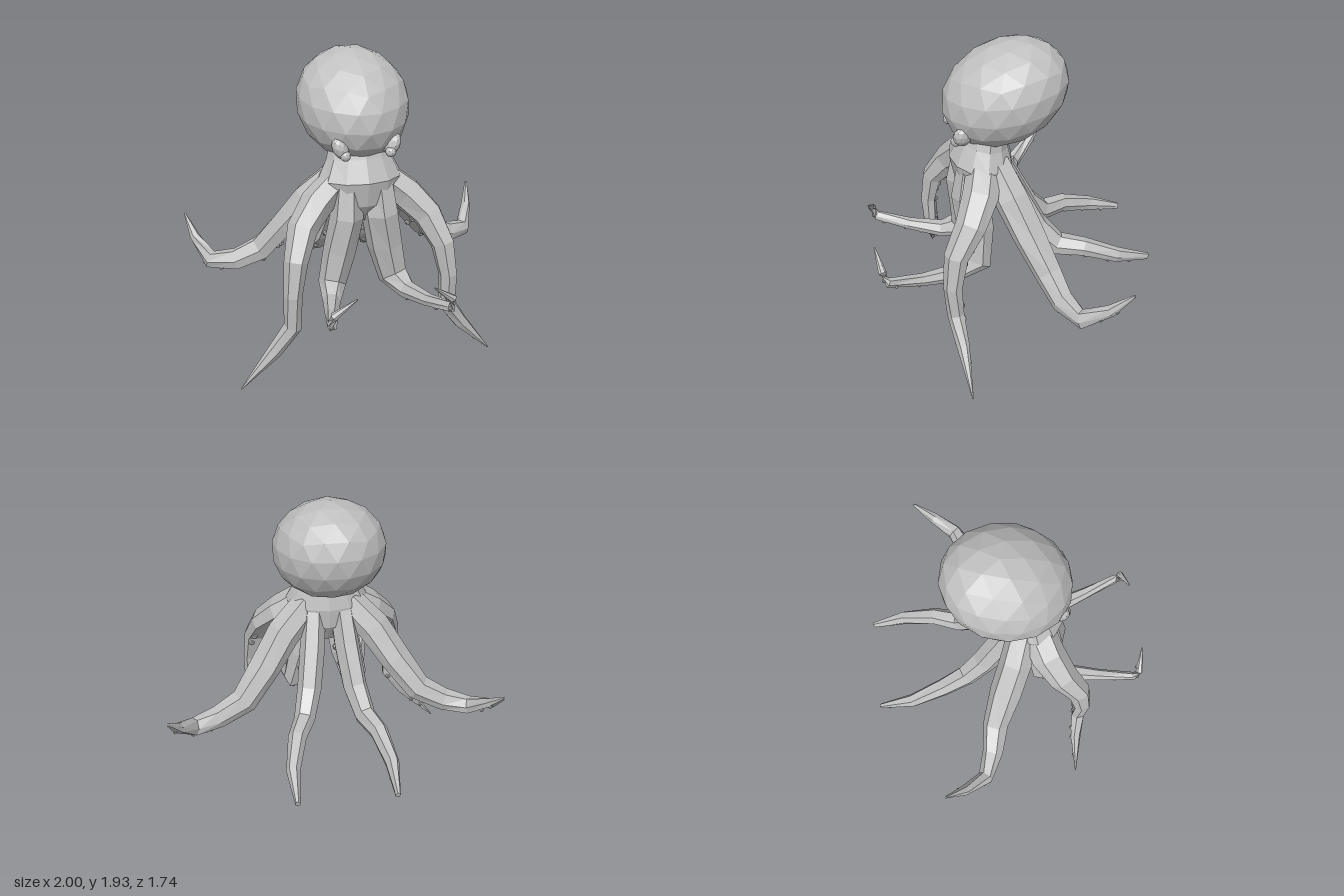
import * as THREE from 'three';
import { mergeGeometries } from 'three/addons/utils/BufferGeometryUtils.js';

const skin = new THREE.MeshStandardMaterial({ color: 0xc0c0c0, flatShading: true });
skin.name = 'skin grey';

// Arm section: flat underside, wide flanks, narrow ridge (side, up)
const ARM = [[0.8, -1], [1, -0.1], [0.5, 0.9], [-0.5, 0.9], [-1, -0.1], [-0.8, -1]];
const OVAL = Array.from({ length: 12 }, (_, i) => {
  const a = (i / 12) * Math.PI * 2;
  return [Math.cos(a), Math.sin(a)];
});

// Stations are [x, y, z, half width, half thickness]; outer is the direction the back of the limb faces
function frames(stations, outer) {
  const pts = stations.map(s => new THREE.Vector3(s[0], s[1], s[2]));
  return pts.map((p, i) => {
    const a = pts[Math.max(0, i - 1)], b = pts[Math.min(pts.length - 1, i + 1)];
    const t = b.clone().sub(a).normalize();
    const up = outer.clone().addScaledVector(t, -outer.dot(t)).normalize();
    return { p, up, side: up.clone().cross(t), w: stations[i][3], h: stations[i][4] };
  });
}

function loft(rings, section) {
  const pos = [], n = section.length;
  const loops = rings.map(r => section.map(([u, v]) =>
    r.p.clone().addScaledVector(r.side, u * r.w).addScaledVector(r.up, v * r.h)));
  const tri = (...c) => c.forEach(v => pos.push(v.x, v.y, v.z));
  for (let k = 0; k < loops.length - 1; k++) {
    for (let i = 0; i < n; i++) {
      const j = (i + 1) % n, a = loops[k], b = loops[k + 1];
      tri(a[i], a[j], b[i]);
      tri(a[j], b[j], b[i]);
    }
  }
  const first = loops[0], last = loops[loops.length - 1];
  for (let i = 1; i < n - 1; i++) {
    tri(first[0], first[i + 1], first[i]);
    tri(last[0], last[i], last[i + 1]);
  }
  const g = new THREE.BufferGeometry();
  g.setAttribute('position', new THREE.Float32BufferAttribute(pos, 3));
  g.computeVertexNormals();
  return g;
}

// Suckers in two staggered rows under an arm
function suckers(rings) {
  const list = [];
  for (let k = 1; k < rings.length - 1; k++) {
    const a = rings[k], b = rings[k + 1];
    const count = Math.max(1, Math.round(a.p.distanceTo(b.p) / 0.085));
    for (let i = 0; i < count; i++) {
      const f = (i + 0.3) / count, row = (i + k) % 2 ? 1 : -1;
      const w = THREE.MathUtils.lerp(a.w, b.w, f), h = THREE.MathUtils.lerp(a.h, b.h, f);
      if (w < 0.02) continue;
      const p = a.p.clone().lerp(b.p, f)
        .addScaledVector(a.up, -h).addScaledVector(a.side, row * w * 0.45);
      const r = 0.012 + w * 0.12;
      list.push(new THREE.IcosahedronGeometry(r, 0).translate(p.x, p.y, p.z));
    }
  }
  return mergeGeometries(list);
}

const ARMS = {
  frontSideArm: {
    outer: [0.2, 0.5, 1],
    stations: [
      [0.13, 1.22, 0.18, 0.09, 0.09], [0.28, 1.1, 0.24, 0.1, 0.09], [0.39, 0.98, 0.32, 0.09, 0.075],
      [0.455, 0.82, 0.42, 0.07, 0.06], [0.485, 0.62, 0.45, 0.055, 0.048], [0.49, 0.41, 0.44, 0.055, 0.042],
      [0.6, 0.25, 0.42, 0.045, 0.03], [0.81, 0.005, 0.4, 0.004, 0.003]],
  },
  frontArm: {
    outer: [0.2, 0.6, 0.7],
    stations: [
      [0.09, 1.24, 0.22, 0.08, 0.1], [0.11, 1.0, 0.27, 0.1, 0.1], [0.15, 0.78, 0.25, 0.1, 0.095],
      [0.2, 0.57, 0.26, 0.085, 0.085], [0.24, 0.53, 0.4, 0.055, 0.045], [0.295, 0.56, 0.6, 0.038, 0.032],
      [0.35, 0.62, 0.81, 0.025, 0.028], [0.345, 0.69, 0.84, 0.024, 0.02], [0.22, 0.79, 0.865, 0.004, 0.004]],
  },
  backSideArm: {
    outer: [0.3, 1, -0.2],
    stations: [
      [0.13, 1.22, 0.1, 0.09, 0.08], [0.29, 1.06, 0.03, 0.1, 0.085], [0.42, 0.87, -0.05, 0.1, 0.075],
      [0.56, 0.68, -0.13, 0.08, 0.07], [0.72, 0.6, -0.17, 0.065, 0.06], [0.87, 0.585, -0.235, 0.048, 0.05],
      [0.95, 0.69, -0.37, 0.032, 0.03], [0.995, 0.81, -0.485, 0.006, 0.008]],
  },
  backArm: {
    outer: [0.1, 0.7, -0.7],
    stations: [
      [0.08, 1.24, 0.1, 0.07, 0.08], [0.11, 0.97, -0.03, 0.078, 0.08], [0.145, 0.74, -0.15, 0.075, 0.075],
      [0.19, 0.61, -0.28, 0.065, 0.065], [0.25, 0.6, -0.44, 0.056, 0.05], [0.295, 0.53, -0.65, 0.042, 0.042],
      [0.29, 0.47, -0.865, 0.015, 0.02]],
  },
};

export function createModel() {
  const model = new THREE.Group();
  model.name = 'octopus';
  const add = (name, geometry, parent = model) => {
    const m = new THREE.Mesh(geometry, skin);
    m.name = name;
    parent.add(m);
    return m;
  };

  // Head: faceted ball stretched along an axis that rises to the back
  const tilt = 0.44;
  add('head', new THREE.IcosahedronGeometry(1, 2)
    .rotateZ(-Math.atan(2 / (1 + Math.sqrt(5)))).rotateY(-Math.PI / 2)
    .rotateX(-tilt).scale(0.335, 0.295, 0.39).rotateX(tilt).translate(0, 1.625, 0.015));

  // Neck and the skirt the arms grow from
  add('body', loft(frames([
    [0, 1.44, 0.13, 0.17, 0.13], [0, 1.33, 0.15, 0.2, 0.15], [0, 1.22, 0.17, 0.255, 0.19],
    [0, 1.08, 0.16, 0.24, 0.17], [0, 0.95, 0.16, 0.1, 0.08]], new THREE.Vector3(0, 0, 1)), OVAL));

  for (const s of [1, -1]) {
    const label = s > 0 ? 'Left' : 'Right';

    // Eyes: leaning lid with a small eyeball under it
    const eye = new THREE.Group();
    eye.name = 'eye' + label;
    model.add(eye);
    add('eyelid', new THREE.IcosahedronGeometry(1, 1).scale(0.045, 0.07, 0.055)
      .rotateZ(-s * 0.45).translate(s * 0.155, 1.44, 0.3), eye);
    add('eyeball', new THREE.IcosahedronGeometry(0.032, 1).translate(s * 0.135, 1.405, 0.335), eye);

    // Arms
    for (const [name, { outer, stations }] of Object.entries(ARMS)) {
      const arm = new THREE.Group();
      arm.name = name + label;
      model.add(arm);
      const rings = frames(stations.map(([x, ...rest]) => [s * x, ...rest]),
        new THREE.Vector3(s * outer[0], outer[1], outer[2]));
      add('limb', loft(rings, ARM), arm);
      add('suckers', suckers(rings), arm);
    }
  }
  return model;
}
